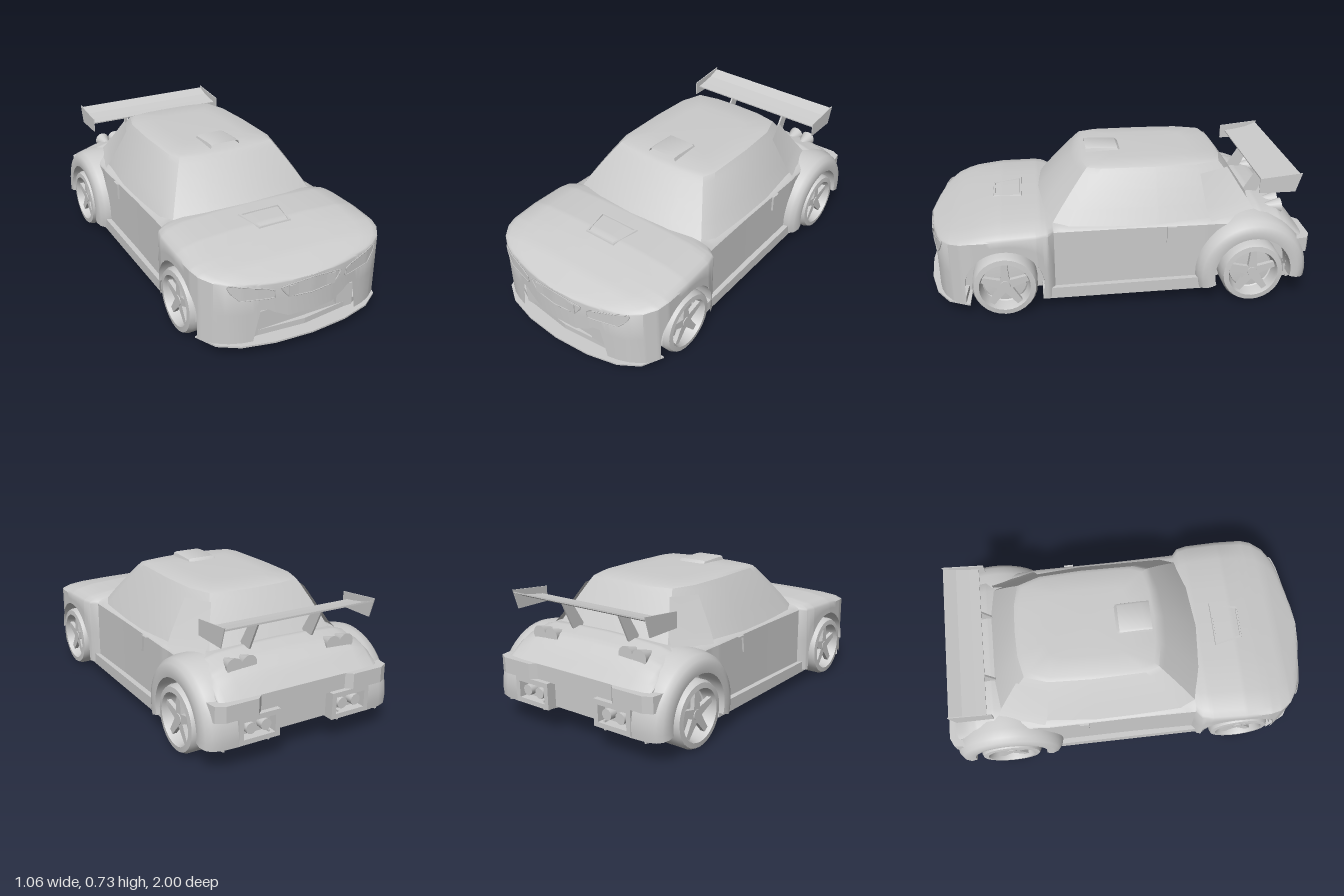
import * as THREE from 'three';
import { toCreasedNormals } from 'three/addons/utils/BufferGeometryUtils.js';

const MAT = new THREE.MeshStandardMaterial({ color: 0xcccccc, side: THREE.DoubleSide });
const FRONT_Z = 0.59, REAR_Z = -0.69, AXLE_Y = 0.165, ARCH_R = 0.2;

const mesh = (name, geo, parent) => {
  const m = new THREE.Mesh(geo, MAT);
  m.name = name;
  parent.add(m);
  return m;
};

// Linear interpolation in a table of [key, value, ...] rows
function lerpTable(table, k, col = 1) {
  if (k <= table[0][0]) return table[0][col];
  for (let i = 1; i < table.length; i++) {
    const a = table[i - 1], b = table[i];
    if (k <= b[0]) return a[col] + (b[col] - a[col]) * (k - a[0]) / (b[0] - a[0]);
  }
  return table[table.length - 1][col];
}

// Surface through rows of points
function loft(rows, crease = 0.6) {
  const n = rows[0].length, index = [];
  for (let i = 0; i < rows.length - 1; i++) for (let j = 0; j < n - 1; j++) {
    const a = i * n + j, b = a + n;
    index.push(a, b, a + 1, b, b + 1, a + 1);
  }
  const g = new THREE.BufferGeometry();
  g.setAttribute('position', new THREE.Float32BufferAttribute(rows.flat(2), 3));
  g.setIndex(index);
  return toCreasedNormals(g, crease);
}

// Half list of [x, ...] points extended to the other side
const mirrored = (half) => [
  ...half.map(([x, ...r]) => [-x, ...r]).reverse(), ...half.filter((p) => p[0] !== 0)];

// Horizontal plate from a half outline of [x, z]
function plate(half, top, thick) {
  const shape = new THREE.Shape(mirrored(half).map(([x, z]) => new THREE.Vector2(x, z)));
  return new THREE.ExtrudeGeometry(shape, { depth: thick, bevelEnabled: false })
    .rotateX(Math.PI / 2).translate(0, top, 0);
}

// Plate standing in the y-z plane, from [z, y] corners
function sidePlate(points, x, thick) {
  const shape = new THREE.Shape(points.map(([z, y]) => new THREE.Vector2(-z, y)));
  return new THREE.ExtrudeGeometry(shape, { depth: thick, bevelEnabled: false })
    .rotateY(Math.PI / 2).translate(x - thick / 2, 0, 0);
}

const box = (x0, x1, y0, y1, z0, z1) => new THREE.BoxGeometry(x1 - x0, y1 - y0, z1 - z0)
  .translate((x0 + x1) / 2, (y0 + y1) / 2, (z0 + z1) / 2);

// Body tables along z: half width, shoulder height, centre height, lower edge
const WIDTH = [[-0.97, 0.45], [-0.5, 0.46], [-0.45, 0.465], [0, 0.463], [0.335, 0.468], [0.365, 0.505], [0.42, 0.52],
  [0.6, 0.527], [0.74, 0.523], [0.8, 0.508], [0.86, 0.465], [0.9, 0.405], [0.922, 0.35], [0.938, 0.28], [0.955, 0.2],
  [0.968, 0.11], [0.975, 0]];
const SHOULDER = [[-0.97, 0.32], [-0.88, 0.38], [-0.74, 0.42], [-0.45, 0.43], [0.33, 0.43], [0.42, 0.425],
  [0.75, 0.415], [0.86, 0.395], [0.975, 0.36]];
const TOP = [[-0.97, 0.34], [-0.9, 0.42], [-0.84, 0.468], [-0.74, 0.49], [-0.6, 0.47], [0, 0.46], [0.34, 0.475],
  [0.4, 0.487], [0.6, 0.483], [0.7, 0.462], [0.85, 0.425], [0.975, 0.37]];
const LOWER = [[-0.97, 0.13], [-0.9, 0.09], [0.935, 0.07], [0.942, 0.235], [0.95, 0.235], [0.966, 0.18], [0.975, 0.18]];
const NOSE = WIDTH.slice(8).map(([z, w]) => [w, z]).reverse();
const noseZ = (x) => lerpTable(NOSE, Math.abs(x));

function lowerEdge(z) {
  let y = lerpTable(LOWER, z);
  for (const c of [FRONT_Z, REAR_Z]) {
    const d = Math.abs(z - c);
    if (d < ARCH_R) y = Math.max(y, AXLE_Y + Math.sqrt(ARCH_R ** 2 - d ** 2));
  }
  return y;
}

function bodyShell() {
  const zs = [WIDTH, SHOULDER, TOP, LOWER].flat().map((r) => r[0]);
  for (let i = 0; i <= 48; i++) zs.push(-0.97 + 1.9 * i / 48);
  for (const c of [FRONT_Z, REAR_Z]) {
    for (let i = 0; i <= 20; i++) zs.push(c + ARCH_R * Math.cos(Math.PI * i / 20));
    zs.push(c - ARCH_R - 0.002, c + ARCH_R + 0.002);
  }
  const stations = [...new Set(zs.map((z) => z.toFixed(3)))].map(Number).sort((a, b) => a - b);
  return loft(stations.map((z) => {
    const w = lerpTable(WIDTH, z), s = lerpTable(SHOULDER, z), t = lerpTable(TOP, z), b = lowerEdge(z), d = t - s;
    const half = [[0, t], [0.4, t - 0.05 * d], [0.75, t - 0.2 * d], [0.93, t - 0.5 * d], [0.985, t - 0.8 * d],
      [1, s], [1, (s + b) / 2], [1, b]];
    const right = half.map(([k, y]) => [k * w, y, z]);
    return [...right.map(([x, y]) => [-x, y, z]).reverse(), ...right.slice(1)];
  }), 0.65);
}

function cabin() {
  const base = [[0, 0.45], [0.25, 0.42], [0.42, 0.355], [0.45, 0.27], [0.455, -0.2], [0.435, -0.5], [0.36, -0.72], [0.2, -0.75], [0, -0.75]];
  const roof = [[0, 0.185], [0.15, 0.175], [0.275, 0.15], [0.3, 0.08], [0.305, -0.2], [0.295, -0.42], [0.255, -0.54], [0.14, -0.565], [0, -0.57]];
  // [height, blend from base to roof, shrink about the roof centre]
  const levels = [[0.43, 0, 1], [0.52, 0.31, 1], [0.6, 0.61, 1], [0.67, 0.89, 1], [0.695, 1, 1], [0.705, 1, 0.93], [0.71, 1, 0.6], [0.712, 1, 0]];
  return loft(levels.map(([y, t, k]) => {
    const half = base.map(([x, z], i) => [(x + (roof[i][0] - x) * t) * k, y, -0.19 + (z + (roof[i][1] - z) * t + 0.19) * k]);
    return [...half, ...half.slice(0, -1).reverse().map(([x, ...r]) => [-x, ...r])];
  }), 0.5);
}

// Panel that follows the nose, with a fine rim; table rows are [x, bottom, top]
function nosePanel(name, table, parent) {
  const x0 = table[0][0], x1 = table[table.length - 1][0], low = [], high = [];
  for (let i = 0; i <= 16; i++) {
    const x = x0 + (x1 - x0) * i / 16, z = noseZ(x) + 0.004;
    low.push([x, lerpTable(table, x, 1), z]);
    high.push([x, lerpTable(table, x, 2), z]);
  }
  mesh(name, loft([high, low]), parent);
  const path = new THREE.CatmullRomCurve3([...low, ...high.reverse()].map((p) => new THREE.Vector3(...p)), true, 'catmullrom', 0.1);
  mesh(name + 'Rim', new THREE.TubeGeometry(path, 80, 0.003, 5, true), parent);
}

function wheel() {
  const g = new THREE.Group();
  // Open bowl at the back, shallow dish behind the spokes
  const profile = [[0, 0.01], [0.11, 0], [0.118, -0.06], [0.15, -0.073], [0.165, -0.055], [0.165, 0.048], [0.156, 0.067],
    [0.13, 0.07], [0.124, 0.055], [0.116, 0.004]].map((p) => new THREE.Vector2(...p));
  mesh('tire', toCreasedNormals(new THREE.LatheGeometry(profile, 28), 0.6).rotateZ(-Math.PI / 2), g);
  mesh('hub', new THREE.CylinderGeometry(0.026, 0.034, 0.03, 15).rotateZ(-Math.PI / 2).translate(0.038, 0, 0), g);
  const arm = new THREE.Shape([[-0.026, 0.01], [0.026, 0.01], [0.02, 0.06], [0.015, 0.122], [-0.015, 0.122], [-0.02, 0.06]]
    .map((p) => new THREE.Vector2(...p)));
  for (let i = 0; i < 5; i++) {
    const spoke = mesh('spoke', new THREE.ExtrudeGeometry(arm, { depth: 0.022, bevelEnabled: false })
      .rotateY(Math.PI / 2).translate(0.028, 0, 0), g);
    spoke.rotation.x = i * Math.PI * 2 / 5;
  }
  return g;
}

// Flared arch swept around the rear axle
function rearFender() {
  const section = [[0.2, 0.4], [0.2, 0.527], [0.235, 0.531], [0.265, 0.519], [0.285, 0.495], [0.297, 0.45], [0.302, 0.36]];
  const rows = [];
  for (let i = 0; i <= 28; i++) {
    const a = -0.3 + (Math.PI + 0.45) * i / 28;
    rows.push(section.map(([r, x]) => [x, AXLE_Y + r * Math.sin(a), REAR_Z + r * Math.cos(a)]));
  }
  return loft(rows, 0.7);
}

// Parts found on both sides, built for +x
function sideParts() {
  const g = new THREE.Group();
  mesh('rearFender', rearFender(), g);
  mesh('frontWheelLiner', new THREE.CylinderGeometry(ARCH_R, ARCH_R, 0.16, 20, 1, true, 0, Math.PI)
    .rotateZ(Math.PI / 2).translate(0.44, AXLE_Y, FRONT_Z), g);
  mesh('sideSkirt', sidePlate([[0.4, 0.065], [0.4, 0.125], [-0.47, 0.14], [-0.49, 0.075]], 0.465, 0.055), g);
  mesh('rearPillarPanel', loft([[[0.328, 0.655, -0.43], [0.272, 0.665, -0.585]], [[0.414, 0.5, -0.45], [0.35, 0.5, -0.69]],
    [[0.45, 0.44, -0.47], [0.4, 0.44, -0.72]]]), g);
  mesh('doorFin', sidePlate([[-0.24, 0.34], [-0.24, 0.43], [-0.29, 0.43], [-0.25, 0.42]], 0.465, 0.02), g);
  nosePanel('headlight', [[0.2, 0.297, 0.335], [0.235, 0.297, 0.35], [0.36, 0.305, 0.378], [0.4, 0.345, 0.388], [0.415, 0.375, 0.385]], g);
  mesh('intakePanel', box(0.185, 0.275, 0.12, 0.215, 0.9, 0.925), g);
  mesh('grilleBlock', box(0.055, 0.13, 0.285, 0.345, 0.95, 0.974), g);
  for (const x of [0.24, 0.32])
    mesh('tailLamp', new THREE.CylinderGeometry(0.042, 0.015, 0.09, 14).rotateX(-Math.PI / 2).translate(x, 0.45, -0.825), g);
  // Lamp pods in the rear bumper
  for (const [x0, x1, y0, y1] of [[0.15, 0.37, 0.235, 0.26], [0.15, 0.37, 0.125, 0.15], [0.15, 0.175, 0.15, 0.235], [0.345, 0.37, 0.15, 0.235]])
    mesh('lampPodFrame', box(x0, x1, y0, y1, -0.995, -0.9), g);
  for (const x of [0.22, 0.3])
    mesh('rearLamp', new THREE.CylinderGeometry(0.028, 0.028, 0.04, 14).rotateX(Math.PI / 2).translate(x, 0.193, -0.965), g);
  for (const x of [0.2, 0.44])
    mesh('diffuserFin', sidePlate([[-0.87, 0.09], [-0.98, 0.11], [-0.98, 0.16], [-0.87, 0.16]], x, 0.008), g);
  // Wing supports
  mesh('wingStrut', sidePlate([[-0.7, 0.48], [-0.78, 0.48], [-0.85, 0.63], [-0.78, 0.61]], 0.18, 0.01), g);
  mesh('wingEndPlate', sidePlate([[-0.72, 0.65], [-0.94, 0.672], [-0.91, 0.572], [-0.72, 0.572]], 0.417, 0.005), g);
  for (const z of [FRONT_Z, REAR_Z]) {
    const w = wheel();
    w.name = z > 0 ? 'frontWheel' : 'rearWheel';
    w.position.set(0.459, AXLE_Y, z);
    g.add(w);
  }
  return g;
}

export function createModel() {
  const car = new THREE.Group();
  car.name = 'car';
  mesh('bodyShell', bodyShell(), car);
  mesh('cabin', cabin(), car);
  mesh('floor', plate([[0, 0.93], [0.3, 0.9], [0.43, 0.84], [0.49, 0.79], [0.37, 0.78], [0.37, 0.4], [0.465, 0.39],
    [0.465, -0.48], [0.37, -0.5], [0, -0.5]], 0.1, 0.03), car);
  // Inner body with the underside rising behind the rear axle
  mesh('innerTub', sidePlate([[0.8, 0.08], [-0.5, 0.07], [-0.68, 0.085], [-0.82, 0.12], [-0.93, 0.17], [-0.93, 0.36], [0.8, 0.36]], 0, 0.74), car);
  mesh('splitter', plate([[0, 1], [0.2, 0.985], [0.36, 0.945], [0.46, 0.88], [0.512, 0.77], [0.39, 0.765], [0, 0.765]], 0.07, 0.009), car);
  mesh('lowerIntake', box(-0.3, 0.3, 0.07, 0.26, 0.85, 0.905), car);
  nosePanel('grille', [[-0.165, 0.335, 0.342], [-0.13, 0.288, 0.35], [0, 0.28, 0.362], [0.13, 0.288, 0.35], [0.165, 0.335, 0.342]], car);
  // Rear face and bumper ledge with stepped middle
  mesh('rearPanel', box(-0.45, 0.45, 0.13, 0.335, -0.945, -0.92), car);
  mesh('rearBumperLedge', plate([[0, -0.97], [0.24, -0.97], [0.27, -0.998], [0.44, -0.998], [0.485, -0.975], [0.5, -0.88], [0, -0.88]],
    0.338, 0.08), car);
  // Hood scoop: nearly flush framed trapezoid
  const ring = [[-0.12, 0.49], [0.12, 0.49], [0.09, 0.64], [-0.09, 0.64], [-0.12, 0.49]];
  mesh('hoodScoop', loft([[1.05, 0.478], [1, 0.491], [0.9, 0.491], [0.87, 0.48]].map(([k, y]) =>
    ring.map(([x, z]) => [x * k, y - (z > 0.6 ? 0.01 : 0), 0.565 + (z - 0.565) * k])), 0.3), car);
  // Roof vent, open to the front
  mesh('roofVent', loft([[-0.05, 0.706], [-0.03, 0.725], [0.1, 0.731], [0.14, 0.728]].map(([z, y]) =>
    [[-0.088, 0.7, z], [-0.08, y - 0.006, z], [-0.068, y, z], [0.068, y, z], [0.08, y - 0.006, z], [0.088, 0.7, z]]), 0.6), car);
  // Rear wing blade with a cambered section
  const foil = [[-0.75, 0.617], [-0.8, 0.624], [-0.87, 0.637], [-0.935, 0.662], [-0.935, 0.655], [-0.87, 0.627], [-0.8, 0.615], [-0.75, 0.61]];
  mesh('wingBlade', sidePlate(foil, 0, 0.83), car);
  const left = sideParts(), right = sideParts();
  left.name = 'leftSide';
  right.name = 'rightSide';
  right.scale.x = -1;
  car.add(left, right);
  return car;
}
